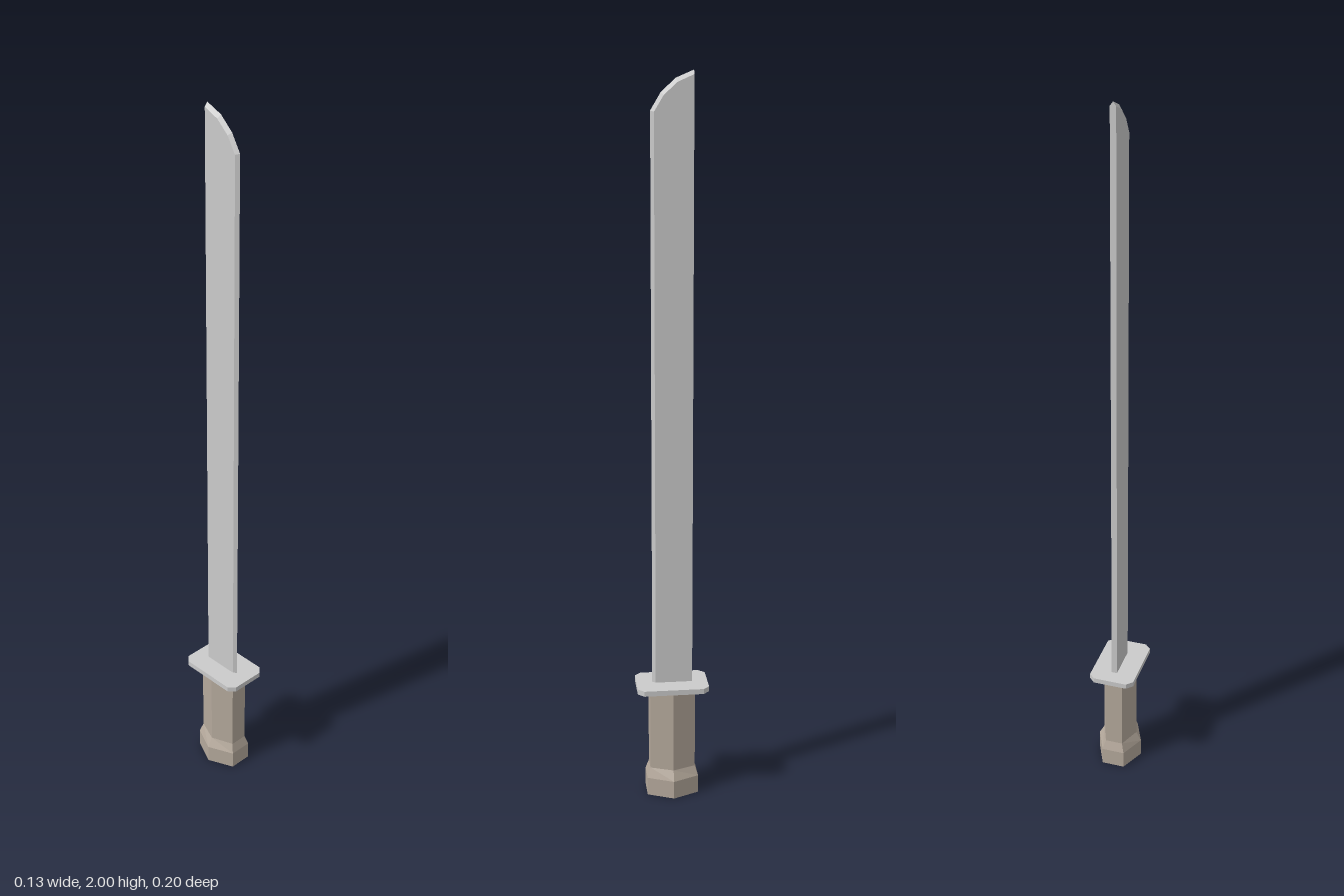
import * as THREE from 'three';

const steel = new THREE.MeshStandardMaterial({ color: 0xcccccc, flatShading: true });
const wrap = new THREE.MeshStandardMaterial({ color: 0xb5a99c, flatShading: true });

function add(group, name, geometry, material) {
  const mesh = new THREE.Mesh(geometry, material);
  mesh.name = name;
  group.add(mesh);
}

// Six-sided handle with a flared pommel, stretched in z
function handleGeometry() {
  const profile = [[0, 0], [0.065, 0], [0.065, 0.052], [0.05, 0.08], [0.05, 0.32], [0, 0.32]];
  const geo = new THREE.LatheGeometry(profile.map(p => new THREE.Vector2(...p)), 6, Math.PI / 2);
  const pos = geo.attributes.position;
  for (let i = 0; i < pos.count; i++) {
    pos.setZ(i, pos.getZ(i) * (pos.getY(i) < 0.06 ? 1.28 : 1.46));
  }
  geo.computeVertexNormals();
  return geo;
}

// Flat plate with clipped corners
function guardGeometry() {
  const w = 0.065, d = 0.1, c = 0.017;
  const corners = [[w, d - c], [w - c, d], [c - w, d], [-w, d - c],
    [-w, c - d], [c - w, -d], [w - c, -d], [w, c - d]];
  const shape = new THREE.Shape(corners.map(p => new THREE.Vector2(...p)));
  const geo = new THREE.ExtrudeGeometry(shape, { depth: 0.015, bevelEnabled: false });
  return geo.rotateX(-Math.PI / 2).translate(0, 0.318, 0);
}

// Single-edged blade: flat sides, thick spine, bevel along the edge and curved tip
function bladeGeometry() {
  const t = 0.008, spine = -0.057;
  // [z, y] of the sharp edge and of the inner line of the bevel
  const edge = [[0.055, 0.33], [0.055, 1.9], [0.028, 1.945], [-0.01, 1.98], [spine, 2]];
  const inner = [[0.046, 0.33], [0.046, 1.897], [0.021, 1.938], [-0.014, 1.97], [spine, 1.989]];
  const verts = [];
  const tri = (...p) => p.forEach(v => verts.push(...v));
  const quad = (a, b, c, d) => { tri(a, b, c); tri(a, c, d); };
  const at = (x, [z, y]) => [x, y, z];
  const last = edge.length - 1;

  for (let i = 0; i < last; i++) {
    for (const s of [1, -1]) {
      const face = (...p) => quad(...(s > 0 ? p : p.reverse()));
      const a = at(s * t, inner[i]), b = at(s * t, inner[i + 1]);
      face(at(0, edge[i]), a, b, at(0, edge[i + 1]));
      const low = [s * t, a[1], spine], high = [s * t, b[1], spine];
      if (i < last - 1) face(a, low, high, b);
      else if (s > 0) tri(a, low, b);
      else tri(b, low, a);
    }
  }
  // Spine, its pointed top, and the underside
  const y0 = inner[0][1], y1 = inner[last][1];
  quad([t, y0, spine], [-t, y0, spine], [-t, y1, spine], [t, y1, spine]);
  tri([t, y1, spine], [-t, y1, spine], at(0, edge[last]));
  quad([t, y0, spine], at(t, inner[0]), at(-t, inner[0]), [-t, y0, spine]);
  tri(at(t, inner[0]), at(0, edge[0]), at(-t, inner[0]));

  const geo = new THREE.BufferGeometry();
  geo.setAttribute('position', new THREE.Float32BufferAttribute(verts, 3));
  geo.computeVertexNormals();
  return geo;
}

export function createModel() {
  const sword = new THREE.Group();
  sword.name = 'sword';
  add(sword, 'handle', handleGeometry(), wrap);
  add(sword, 'guard', guardGeometry(), steel);
  add(sword, 'blade', bladeGeometry(), steel);
  return sword;
}
